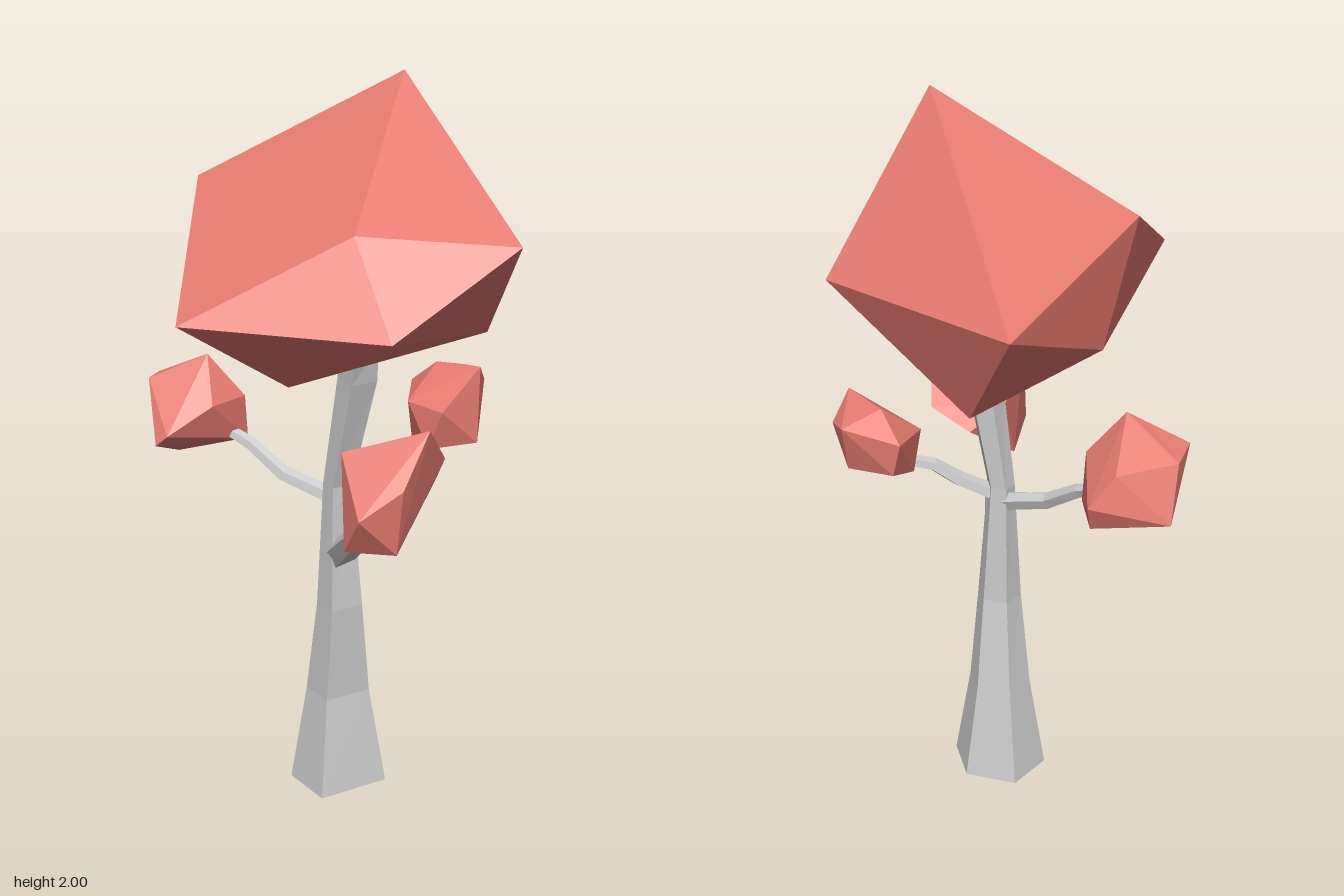
import * as THREE from 'three';
import { ConvexGeometry } from 'three/addons/geometries/ConvexGeometry.js';

const V = (p) => new THREE.Vector3(...p);
const bark = new THREE.MeshStandardMaterial({ color: 0xcccccc, flatShading: true });
const leaf = new THREE.MeshStandardMaterial({ color: 0xe57a70, flatShading: true });

function part(name, geometry, material) {
  geometry.computeVertexNormals();
  const mesh = new THREE.Mesh(geometry, material);
  mesh.name = name;
  return mesh;
}

// Triangles (arrays of Vector3) to an unindexed geometry
const fromTriangles = (points) => new THREE.BufferGeometry().setFromPoints(points);

// Closed skin over rings of equal length, lowest ring first
function loft(rings) {
  const tris = [];
  const n = rings[0].length;
  const first = rings[0], last = rings[rings.length - 1];
  for (let r = 0; r < rings.length - 1; r++) {
    for (let i = 0; i < n; i++) {
      const j = (i + 1) % n;
      const [a, b, c, d] = [rings[r][i], rings[r][j], rings[r + 1][j], rings[r + 1][i]];
      tris.push(a, b, c, a, c, d);
    }
  }
  for (let i = 1; i < n - 1; i++) {
    tris.push(first[0], first[i + 1], first[i], last[0], last[i], last[i + 1]);
  }
  return fromTriangles(tris);
}

// Uneven five-sided section shared by trunk and branches
const PENTAGON = [[-0.54, 1], [1, 0.46], [0.77, -0.62], [-0.31, -1], [-1, -0.15]];

// Trunk sections: [y, centre x, centre z, half width, half depth]
function trunk() {
  const sections = [
    [0, 0.02, 0, 0.13, 0.13],
    [0.28, 0.02, 0, 0.085, 0.082],
    [0.55, 0.02, 0.025, 0.06, 0.062],
    [0.9, 0.015, 0.02, 0.037, 0.042],
    [1.2, 0.06, 0.055, 0.05, 0.065],
    [1.3, 0.065, 0.065, 0.045, 0.075],
  ];
  return loft(sections.map(([y, cx, cz, w, d]) =>
    PENTAGON.map(([u, v]) => V([cx + u * w, y, cz + v * d]))));
}

// Tapered, kinked branch along a path
function branch(path, r0, r1) {
  const pts = path.map(V);
  const last = pts.length - 1;
  return loft(pts.map((p, i) => {
    const dir = pts[Math.min(i + 1, last)].clone().sub(pts[Math.max(i - 1, 0)]).normalize();
    const side = new THREE.Vector3(0, 1, 0).cross(dir).normalize();
    const up = side.clone().cross(dir);
    const r = r0 + (r1 - r0) * (i / last);
    return PENTAGON.map(([u, v]) => p.clone().addScaledVector(side, u * r).addScaledVector(up, v * r));
  }));
}

// Twenty-sided crown: apex, two staggered rings of five, base point
function crown() {
  const top = V([0.19, 2, 0.02]);
  const base = V([-0.15, 1.23, 0.2]);
  const upper = [[-0.32, 1.72, -0.17], [-0.05, 1.67, 0.51], [0.32, 1.65, 0.62],
    [0.45, 1.57, -0.19], [0.01, 1.59, -0.68]].map(V);
  const lower = [[-0.46, 1.46, 0.44], [0, 1.45, 0.68], [0.31, 1.4, 0.4],
    [0.1, 1.3, -0.43], [-0.23, 1.41, -0.27]].map(V);
  const tris = [];
  for (let i = 0; i < 5; i++) {
    const j = (i + 1) % 5;
    tris.push(top, upper[i], upper[j], upper[i], lower[i], upper[j]);
    tris.push(lower[i], lower[j], upper[j], base, lower[j], lower[i]);
  }
  return fromTriangles(tris);
}

// Side limbs: branch path with its radii, and the corners of its leaf clump
const limbs = [
  {
    name: 'front', radii: [0.04, 0.022],
    path: [[0.02, 0.7, 0.04], [0.025, 0.8, 0.2], [0.01, 0.84, 0.31], [0.01, 0.92, 0.38]],
    clump: [[0.14, 1.19, 0.51], [-0.06, 1.12, 0.42], [0.06, 1.06, 0.57], [0.21, 1.08, 0.4],
      [0.21, 1, 0.32], [0.05, 0.89, 0.55], [-0.07, 0.89, 0.5], [-0.03, 0.84, 0.35],
      [0.1, 0.95, 0.25], [0, 1.02, 0.28], [-0.05, 0.99, 0.57]],
  },
  {
    name: 'right', radii: [0.025, 0.016],
    path: [[0, 0.86, 0], [-0.11, 0.9, -0.08], [-0.19, 0.97, -0.16], [-0.27, 1.01, -0.24]],
    clump: [[-0.3, 1.22, -0.22], [-0.46, 1.15, -0.26], [-0.42, 1.14, -0.36], [-0.26, 1.12, -0.39],
      [-0.19, 1.04, -0.41], [-0.4, 0.99, -0.41], [-0.2, 0.97, -0.38], [-0.46, 0.99, -0.13],
      [-0.43, 1.02, -0.11], [-0.3, 1.09, -0.14], [-0.2, 1.1, -0.2], [-0.19, 0.97, -0.22],
      [-0.38, 0.93, -0.27]],
  },
  {
    name: 'left', radii: [0.025, 0.016],
    path: [[0.02, 0.86, 0.03], [0.13, 0.92, 0.01], [0.2, 0.97, 0], [0.32, 1.01, -0.03]],
    clump: [[0.42, 1.2, 0], [0.33, 1.19, -0.12], [0.46, 1.14, -0.09], [0.43, 1.16, -0.18],
      [0.23, 1.1, -0.05], [0.28, 1.12, -0.2], [0.25, 0.99, -0.08], [0.41, 0.99, 0.02],
      [0.3, 1.09, 0.05], [0.27, 0.98, 0.02], [0.42, 1.03, -0.14], [0.3, 1.03, -0.19]],
  },
];

export function createModel() {
  const tree = new THREE.Group();
  tree.name = 'tree';
  tree.add(part('trunk', trunk(), bark), part('crown', crown(), leaf));
  for (const { name, path, radii, clump } of limbs) {
    tree.add(part(name + 'Branch', branch(path, ...radii), bark));
    tree.add(part(name + 'LeafClump', new ConvexGeometry(clump.map(V)), leaf));
  }
  return tree;
}
